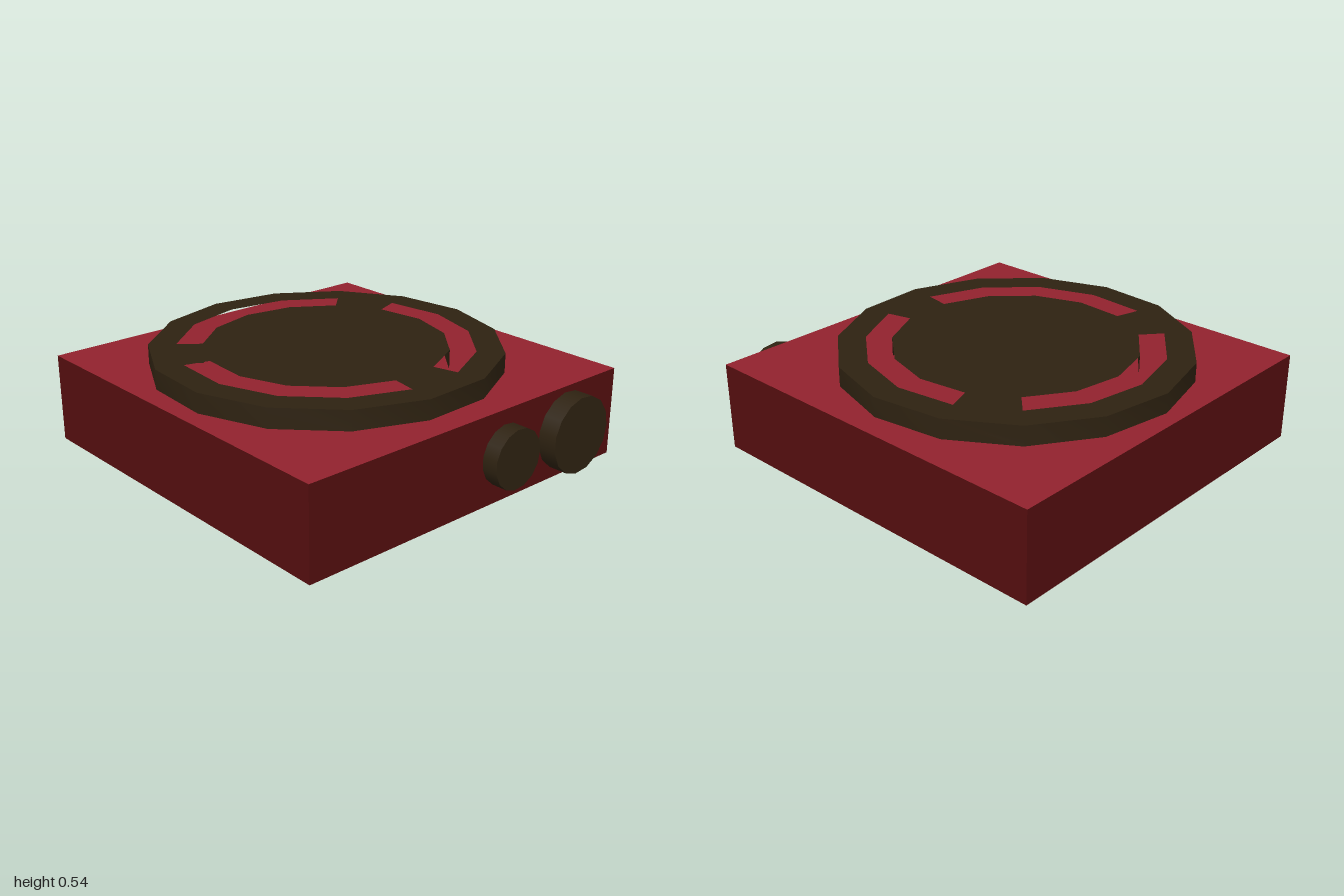
import * as THREE from 'three';
import { toCreasedNormals } from 'three/addons/utils/BufferGeometryUtils.js';

const SIDES = 15;
const STEP = (Math.PI * 2) / SIDES;
const START = THREE.MathUtils.degToRad(-2.3);

function material(name, color) {
  const m = new THREE.MeshStandardMaterial({ color });
  m.name = name;
  return m;
}

// Corner k of a 15-sided ring, counted clockwise from the back
function corner(k, radius) {
  const a = START + k * STEP;
  return new THREE.Vector2(Math.sin(a) * radius, Math.cos(a) * radius);
}

export function createModel() {
  const model = new THREE.Group();
  model.name = 'stove';

  const bodyRed = material('body dark red', 0x550e0f);
  const topRed = material('top red', 0x92222e);
  const darkBrown = material('dark brown', 0x2e2211);

  function add(name, geometry, mat, x, y, z) {
    const mesh = new THREE.Mesh(geometry, mat);
    mesh.name = name;
    mesh.position.set(x, y, z);
    model.add(mesh);
    return mesh;
  }

  // Square body with a brighter top face
  add('body', new THREE.BoxGeometry(1.9, 0.44, 1.905),
    [bodyRed, bodyRed, topRed, bodyRed, bodyRed, bodyRed], 0, 0.22, -0.0475);

  // Burner disc pierced by three curved slots, each four sides long
  const disc = new THREE.Shape(
    Array.from({ length: SIDES }, (_, k) => corner(k, 0.853)));
  for (const first of [-2, 3, 8]) {
    const outer = [];
    const inner = [];
    for (let k = first; k <= first + 4; k++) {
      outer.push(corner(k, 0.718));
      inner.unshift(corner(k, 0.592));
    }
    disc.holes.push(new THREE.Path([...outer, ...inner]));
  }
  const burner = new THREE.ExtrudeGeometry(disc, { depth: 0.097, bevelEnabled: false });
  burner.rotateX(-Math.PI / 2);
  add('burner', toCreasedNormals(burner, 0.6), darkBrown, -0.018, 0.44, -0.068);

  // Two control knobs on the front
  const knobs = [
    ['smallKnob', 0.184, 0.146, 0.08],
    ['largeKnob', 0.603, 0.189, 0.095],
  ];
  for (const [name, x, radius, depth] of knobs) {
    const knob = new THREE.CylinderGeometry(radius, radius, depth, SIDES, 1, false, Math.PI / 2);
    knob.rotateX(Math.PI / 2);
    add(name, knob, darkBrown, x, 0.223, 0.905 + depth / 2);
  }

  return model;
}
